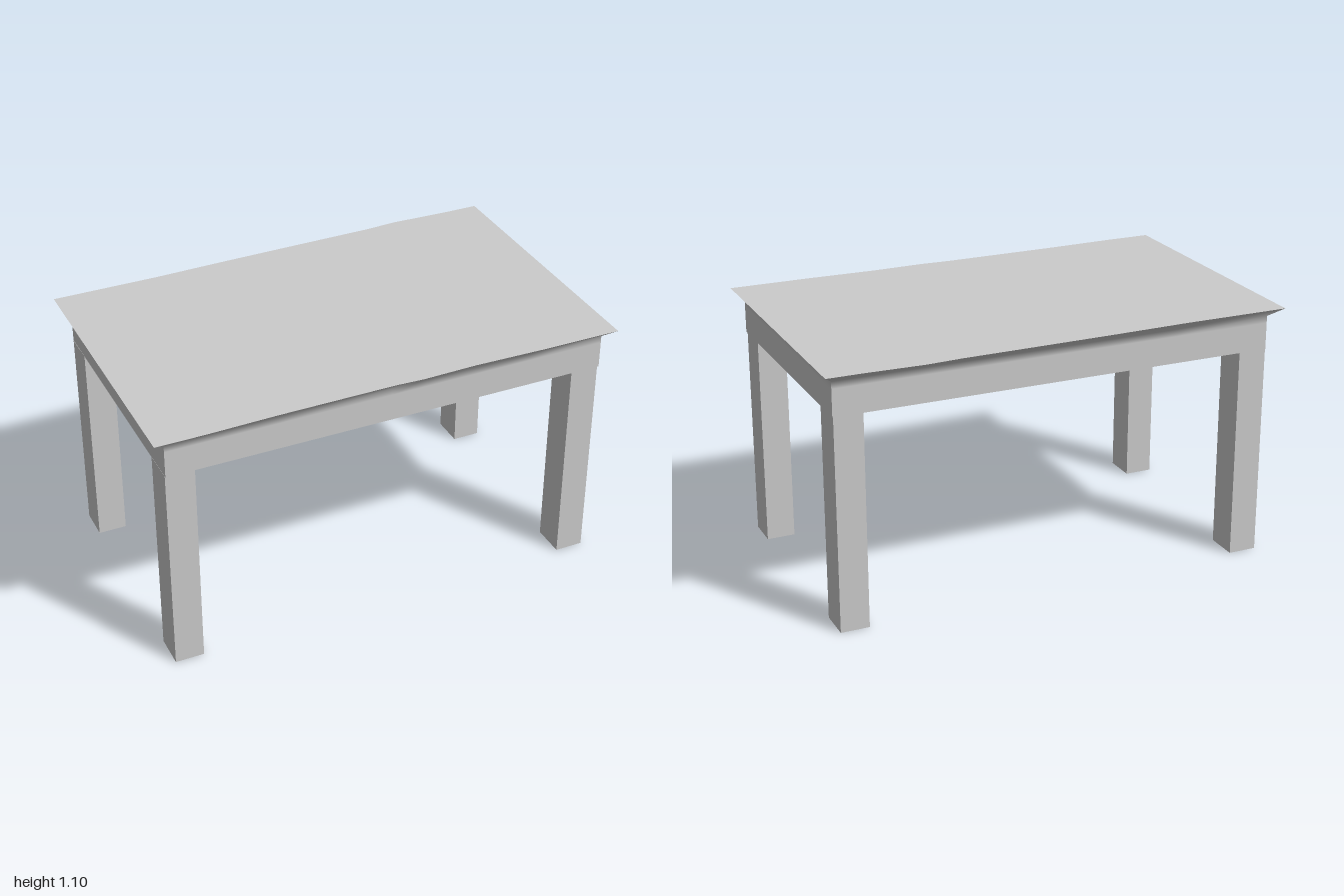
import * as THREE from 'three';

const TOP = 1.1, NECK = 1.06, SKIRT = 0.915;
const material = new THREE.MeshStandardMaterial({ color: 0xcccccc });

// Slightly uneven long edges of the table top: [x, z] from left to right
const frontEdge = [[-1, 0.613], [-0.8, 0.613], [-0.5, 0.605], [0, 0.602], [0.12, 0.608],
  [0.35, 0.602], [0.65, 0.609], [1, 0.61]];
const backEdge = [[-1, -0.595], [-0.55, -0.594], [-0.2, -0.603], [0.1, -0.608], [0.45, -0.613],
  [0.6, -0.622], [0.85, -0.614], [1, -0.614]];

// Surface through rows of points, rows bottom to top, each running left to right seen from outside
function grid(rows) {
  const n = rows[0].length, index = [];
  for (let r = 0; r < rows.length - 1; r++) {
    for (let c = 0; c < n - 1; c++) {
      const a = r * n + c;
      index.push(a, a + 1, a + n + 1, a, a + n + 1, a + n);
    }
  }
  const geometry = new THREE.BufferGeometry();
  geometry.setAttribute('position', new THREE.Float32BufferAttribute(rows.flat(2), 3));
  geometry.setIndex(index);
  geometry.computeVertexNormals();
  return geometry;
}

export function createModel() {
  const group = new THREE.Group();
  const add = (parent, name, geometry) => {
    const mesh = new THREE.Mesh(geometry, material);
    mesh.name = name;
    parent.add(mesh);
    return mesh;
  };

  // Top surface
  const atTop = ([x, z]) => [x, TOP, z];
  add(group, 'tableTop', grid([frontEdge.map(atTop), backEdge.map(atTop)]));

  // Apron walls that flare out softly to the rim of the top
  const inset = ([x, z]) => [x * 0.95 + 0.005, z > 0 ? 0.56 : -0.545];
  const apron = new THREE.Group();
  apron.name = 'apron';
  group.add(apron);
  const last = frontEdge.length - 1;
  const walls = {
    apronFront: frontEdge,
    apronLeft: [frontEdge[last], backEdge[last]],
    apronBack: [...backEdge].reverse(),
    apronRight: [backEdge[0], frontEdge[0]],
  };
  for (const [name, edge] of Object.entries(walls)) {
    const row = (y) => edge.map(inset).map(([x, z]) => [x, y, z]);
    add(apron, name, grid([row(SKIRT), row(1.03), row(NECK), edge.map(atTop)]));
  }

  // Flat underside
  const under = (edge) => [edge[0], edge[last]].map(inset).map(([x, z]) => [x, SKIRT, z]);
  add(group, 'underside', grid([under(backEdge), under(frontEdge)]));

  // Four square-cut legs
  for (const [side, x] of [['Right', -0.885], ['Left', 0.89]]) {
    for (const [end, z] of [['front', 0.483], ['back', -0.469]]) {
      const leg = add(group, `${end}${side}Leg`, new THREE.BoxGeometry(0.122, SKIRT, 0.144));
      leg.position.set(x, SKIRT / 2, z);
    }
  }
  return group;
}
